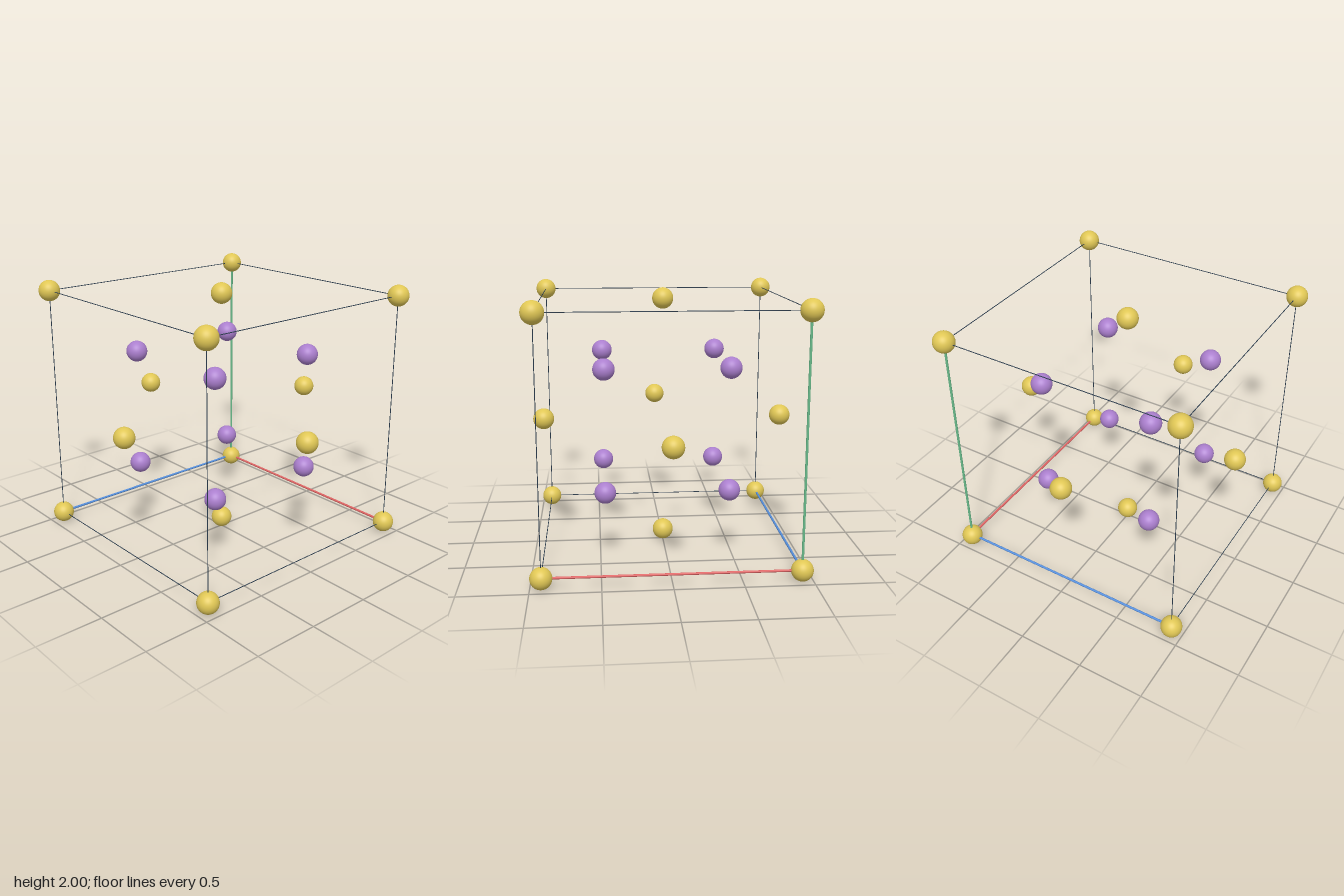
import * as THREE from 'three';

const H = 0.92;       // half the cell edge
const R = 0.08;       // ball radius
const MID = H + R;    // height of the cell centre

function material(name, color) {
  const m = new THREE.MeshStandardMaterial({ color });
  m.name = name;
  return m;
}

export function createModel() {
  const model = new THREE.Group();
  model.name = 'crystalUnitCell';
  const gold = material('gold', 0xe0c755);
  const purple = material('purple', 0xab7fce);
  const slate = material('dark slate', 0x2b3d4f);
  const axisMaterials = [
    material('red axis', 0xe06464),
    material('green axis', 0x68ba8a),
    material('blue axis', 0x568fdc),
  ];

  const ballGeometry = new THREE.SphereGeometry(R, 40, 28);
  const ball = (name, mat, x, y, z) => {
    const mesh = new THREE.Mesh(ballGeometry, mat);
    mesh.name = name;
    mesh.position.set(x, y + MID, z);
    model.add(mesh);
  };

  // Corner balls, and inner balls at half the distance
  const signs = [-1, 1];
  for (const x of signs) for (const y of signs) for (const z of signs) {
    ball('cornerBall', gold, x * H, y * H, z * H);
    ball('innerBall', purple, x * H / 2, y * H / 2, z * H / 2);
  }

  // Balls at the face centres
  for (let axis = 0; axis < 3; axis++) for (const s of signs) {
    const p = [0, 0, 0];
    p[axis] = s * H;
    ball('faceBall', gold, ...p);
  }

  // Cell edges; the three meeting at the back lower corner are thicker coloured axes
  const edgeGeometry = new THREE.CylinderGeometry(0.003, 0.003, 2 * H, 8);
  const axisGeometry = new THREE.CylinderGeometry(0.009, 0.009, 2 * H, 12);
  const axisNames = ['xAxis', 'yAxis', 'zAxis'];
  for (let axis = 0; axis < 3; axis++) for (const a of signs) for (const b of signs) {
    const isAxis = a < 0 && b < 0;
    const mesh = new THREE.Mesh(isAxis ? axisGeometry : edgeGeometry, isAxis ? axisMaterials[axis] : slate);
    mesh.name = isAxis ? axisNames[axis] : 'cellEdge';
    const p = [0, 0, 0];
    p[(axis + 1) % 3] = a * H;
    p[(axis + 2) % 3] = b * H;
    mesh.position.set(p[0], p[1] + MID, p[2]);
    if (axis === 0) mesh.rotation.z = -Math.PI / 2;
    if (axis === 2) mesh.rotation.x = Math.PI / 2;
    model.add(mesh);
  }

  return model;
}
